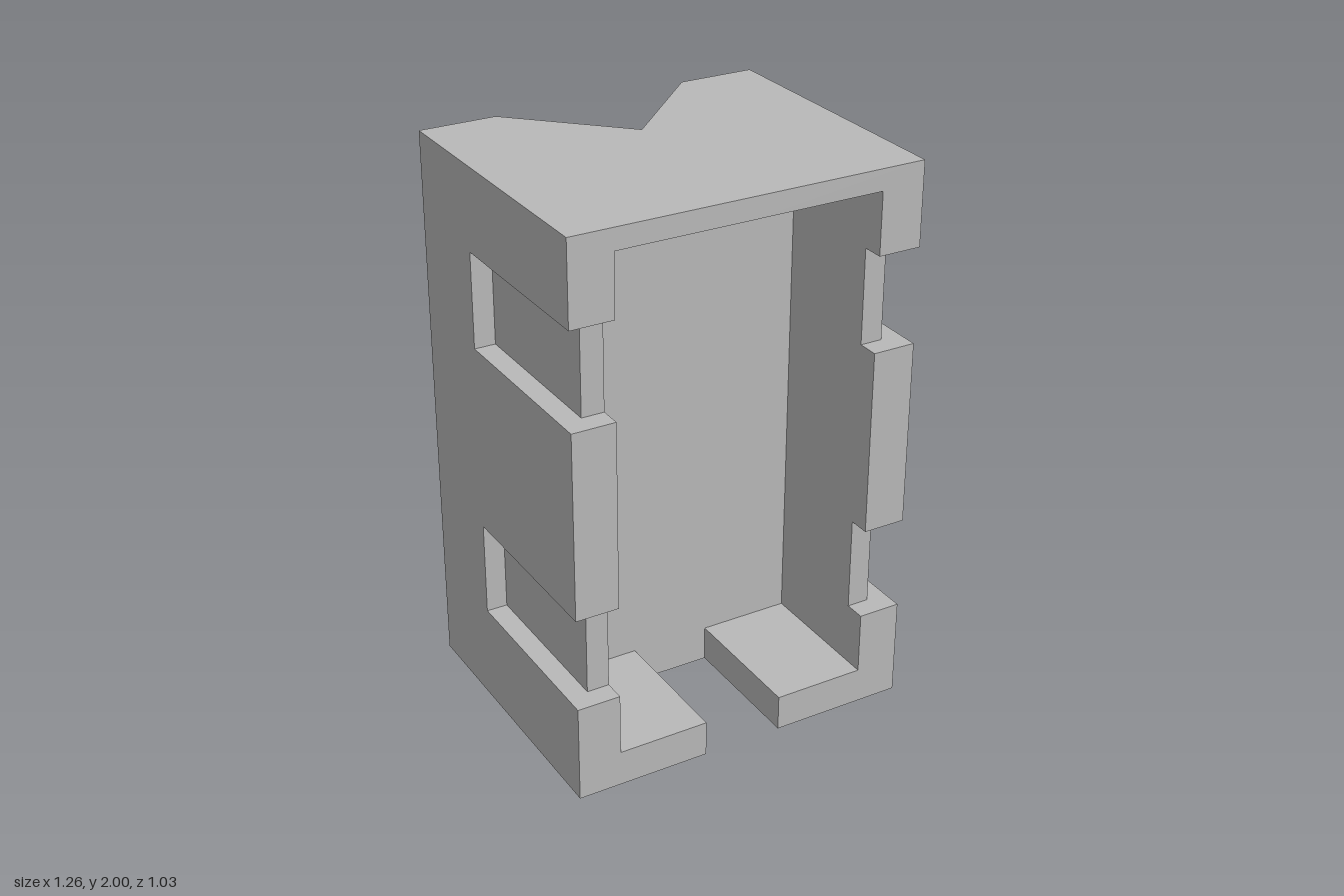
import * as THREE from 'three';
import { mergeGeometries } from 'three/addons/utils/BufferGeometryUtils.js';

const W = 0.63, F = 0.517, B = -0.517;            // half width, front and back planes
const IN = 0.475, CEIL = 1.925, FLOOR = 0.13, C = 0.02; // cavity half width, top, floor, back
const SLOT = 0.145;                               // half width of the floor slot
const V = 0.355, APEX = -0.165;                   // rear groove half width and depth
const LIP = 0.44, POCKET = 0.555, END = -0.16;    // side notch: inner lip, pocket wall, rear end
const NOTCHES = [[0.355, 0.695], [1.365, 1.705]]; // y ranges of the side notches

// Maps outline coordinates to a plane: x planes use (z, y), y planes (x, z), z planes (x, y)
const planes = {
  x: (u, v, d) => new THREE.Vector3(d, v, u),
  y: (u, v, d) => new THREE.Vector3(u, d, v),
  z: (u, v, d) => new THREE.Vector3(u, v, d),
};

const rect = (a, b, c, d) => [[a, b], [c, b], [c, d], [a, d]];

// Flat polygon whose front faces the given direction
function polygon(outline, place, outward) {
  const flat = outline.map(([u, v]) => new THREE.Vector2(u, v));
  const pts = flat.map((p) => place(p.x, p.y));
  const pos = [];
  for (const [i, j, k] of THREE.ShapeUtils.triangulateShape(flat, [])) {
    const [a, b, c] = [pts[i], pts[j], pts[k]];
    const n = b.clone().sub(a).cross(c.clone().sub(a));
    for (const p of n.dot(outward) > 0 ? [a, b, c] : [a, c, b]) pos.push(p.x, p.y, p.z);
  }
  const g = new THREE.BufferGeometry();
  g.setAttribute('position', new THREE.Float32BufferAttribute(pos, 3));
  g.computeVertexNormals();
  return g;
}

function face(axis, d, sign, outline) {
  const place = (u, v) => planes[axis](u, v, d);
  return [polygon(outline, place, planes[axis](0, 0, 0).setComponent('xyz'.indexOf(axis), sign))];
}

// The same face on both sides of x = 0
function pair(axis, d, sign, outline) {
  const flip = new THREE.Vector3(-1, 1, 1);
  const out = new THREE.Vector3().setComponent('xyz'.indexOf(axis), sign);
  const place = (u, v) => planes[axis](u, v, d);
  return [
    polygon(outline, place, out),
    polygon(outline, (u, v) => place(u, v).multiply(flip), out.clone().multiply(flip)),
  ];
}

export function createModel() {
  const group = new THREE.Group();
  const grey = new THREE.MeshStandardMaterial({ color: 0xb8b8b8 });
  grey.name = 'grey';
  const add = (name, faces) => {
    const mesh = new THREE.Mesh(mergeGeometries(faces), grey);
    mesh.name = name;
    group.add(mesh);
  };
  const [[a0, a1], [b0, b1]] = NOTCHES;
  const rear = [[W, F], [W, B], [V, B], [0, APEX], [-V, B], [-W, B], [-W, F]];

  // Outer skin: top, slotted bottom, back strips, notched sides
  add('outerBody', [
    ...face('y', 2, 1, rear),
    ...face('y', 0, -1, [...rear, [-SLOT, F], [-SLOT, C], [SLOT, C], [SLOT, F]]),
    ...pair('z', B, -1, rect(V, 0, W, 2)),
    ...pair('x', W, 1, [
      [B, 0], [F, 0], [F, a0], [END, a0], [END, a1], [F, a1],
      [F, b0], [END, b0], [END, b1], [F, b1], [F, 2], [B, 2],
    ]),
  ]);

  // Front rim, broken by the notches and the floor slot
  add('frontRim', [
    ...pair('z', F, 1, [[0, CEIL], [IN, CEIL], [IN, b1], [W, b1], [W, 2], [0, 2]]),
    ...pair('z', F, 1, rect(IN, a1, W, b0)),
    ...pair('z', F, 1, [[SLOT, 0], [W, 0], [W, a0], [IN, a0], [IN, FLOOR], [SLOT, FLOOR]]),
  ]);

  // V groove down the back
  const slope = (u, v) => new THREE.Vector3(u, v, APEX + (B - APEX) * Math.abs(u) / V);
  add('rearGroove', [1, -1].map((s) =>
    polygon(rect(0, 0, s * V, 2), slope, new THREE.Vector3(-s, 0, -1))));

  // Open cavity
  add('cavity', [
    ...face('z', C, 1, rect(-IN, FLOOR, IN, CEIL)),
    ...face('y', CEIL, -1, rect(-IN, C, IN, F)),
    ...pair('y', FLOOR, 1, rect(SLOT, C, IN, F)),
    ...pair('x', IN, -1, [
      [C, FLOOR], [F, FLOOR], [F, a0], [LIP, a0], [LIP, a1], [F, a1],
      [F, b0], [LIP, b0], [LIP, b1], [F, b1], [F, CEIL], [C, CEIL],
    ]),
  ]);

  // Slot through the floor
  add('floorSlot', [
    ...face('z', C, 1, rect(-SLOT, 0, SLOT, FLOOR)),
    ...pair('x', SLOT, -1, rect(C, 0, F, FLOOR)),
  ]);

  // Strap notches on both sides
  const ledge = [[POCKET, END], [W, END], [W, F], [IN, F], [IN, LIP], [POCKET, LIP]];
  NOTCHES.forEach(([y0, y1], i) => add(i ? 'upperNotches' : 'lowerNotches', [
    ...pair('y', y0, 1, ledge),
    ...pair('y', y1, -1, ledge),
    ...pair('x', POCKET, 1, rect(END, y0, LIP, y1)),
    ...pair('z', LIP, 1, rect(IN, y0, POCKET, y1)),
    ...pair('z', END, 1, rect(POCKET, y0, W, y1)),
  ]));

  return group;
}
